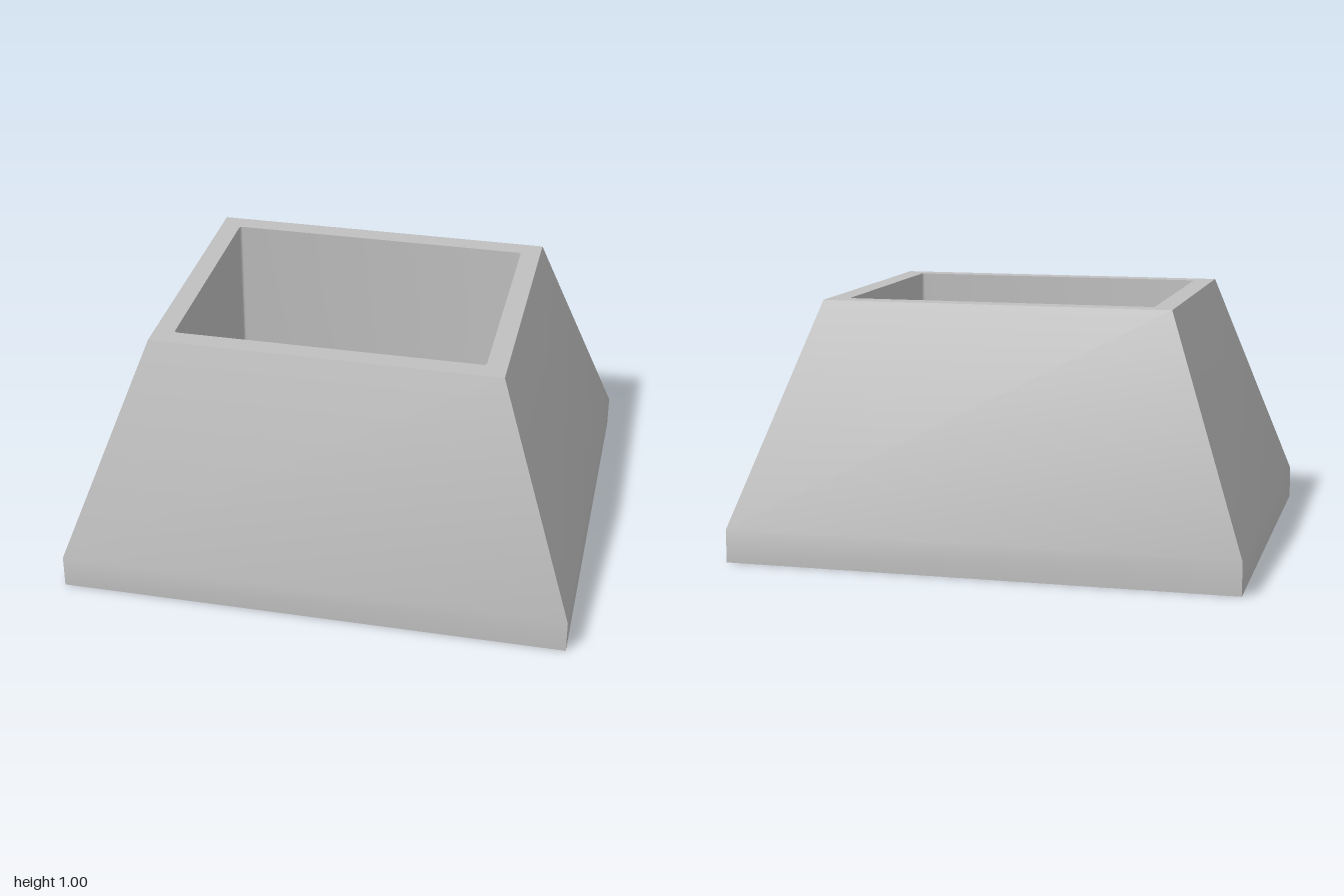
import * as THREE from 'three';
import { toCreasedNormals } from 'three/addons/utils/BufferGeometryUtils.js';

// Rectangle outline (half sizes), optionally with rounded corners, counter-clockwise
function rect(w, d, r = 0) {
  const steps = r ? 4 : 0, pts = [];
  [[1, 1], [-1, 1], [-1, -1], [1, -1]].forEach(([sx, sy], q) => {
    for (let i = 0; i <= steps; i++) {
      const a = (q + (steps ? i / steps : 0)) * Math.PI / 2;
      pts.push(new THREE.Vector2(sx * (w - r) + r * Math.cos(a), sy * (d - r) + r * Math.sin(a)));
    }
  });
  return pts;
}

function circle(cx, cy, r, n = 32) {
  return Array.from({ length: n }, (_, i) => {
    const a = i / n * Math.PI * 2;
    return new THREE.Vector2(cx + r * Math.cos(a), cy + r * Math.sin(a));
  });
}

// Side walls through a stack of outlines; inward walls face the hollow
function walls(levels, inward = false) {
  const pos = [];
  const at = (l, i) => {
    const p = l.pts[i % l.pts.length];
    return [p.x, l.y, -p.y];
  };
  for (let k = 0; k < levels.length - 1; k++) {
    for (let i = 0; i < levels[k].pts.length; i++) {
      const a = at(levels[k], i), b = at(levels[k], i + 1);
      const c = at(levels[k + 1], i + 1), d = at(levels[k + 1], i);
      const corners = inward ? [a, c, b, a, d, c] : [a, b, c, a, c, d];
      corners.forEach(v => pos.push(...v));
    }
  }
  const g = new THREE.BufferGeometry();
  g.setAttribute('position', new THREE.Float32BufferAttribute(pos, 3));
  return toCreasedNormals(g, 0.5);
}

// Flat horizontal face with openings
function plate(pts, holes, y, up = true) {
  const s = new THREE.Shape(pts);
  s.holes = holes.map(h => new THREE.Path(h));
  return new THREE.ShapeGeometry(s).rotateX(up ? -Math.PI / 2 : Math.PI / 2).translate(0, y, 0);
}

export function createModel() {
  const group = new THREE.Group();
  const grey = new THREE.MeshStandardMaterial({ color: 0xc0c0c0 });
  grey.name = 'grey';
  const add = (name, geometry) => {
    const m = new THREE.Mesh(geometry, grey);
    m.name = name;
    group.add(m);
  };

  const bandY = 0.13, floorY = 0.13, boltDepth = 0.3;
  const base = rect(1, 0.84), top = rect(0.685, 0.56);
  const cavity = rect(0.605, 0.48, 0.014), opening = rect(0.377, 0.28);
  const bolts = [];
  for (const x of [-0.69, 0.69]) for (const z of [-0.53, 0.53]) bolts.push(circle(x, z, 0.052));

  // Outside: straight band at the foot, then tapered sides
  add('outerShell', walls([{ pts: base, y: 0 }, { pts: base, y: bandY }, { pts: top, y: 1 }]));
  add('topRim', plate(top, [cavity], 1));

  // Hollow with its floor and the opening through it
  add('cavityWalls', walls([{ pts: cavity, y: floorY }, { pts: cavity, y: 1 }], true));
  add('cavityFloor', plate(cavity, [opening], floorY));
  add('floorOpening', walls([{ pts: opening, y: 0 }, { pts: opening, y: floorY }], true));

  // Underside with four blind bolt holes
  add('underside', plate(base, [opening, ...bolts], 0, false));
  for (const b of bolts) {
    add('boltHole', walls([{ pts: b, y: 0 }, { pts: b, y: boltDepth }], true));
    add('boltHoleEnd', plate(b, [], boltDepth, false));
  }
  return group;
}
